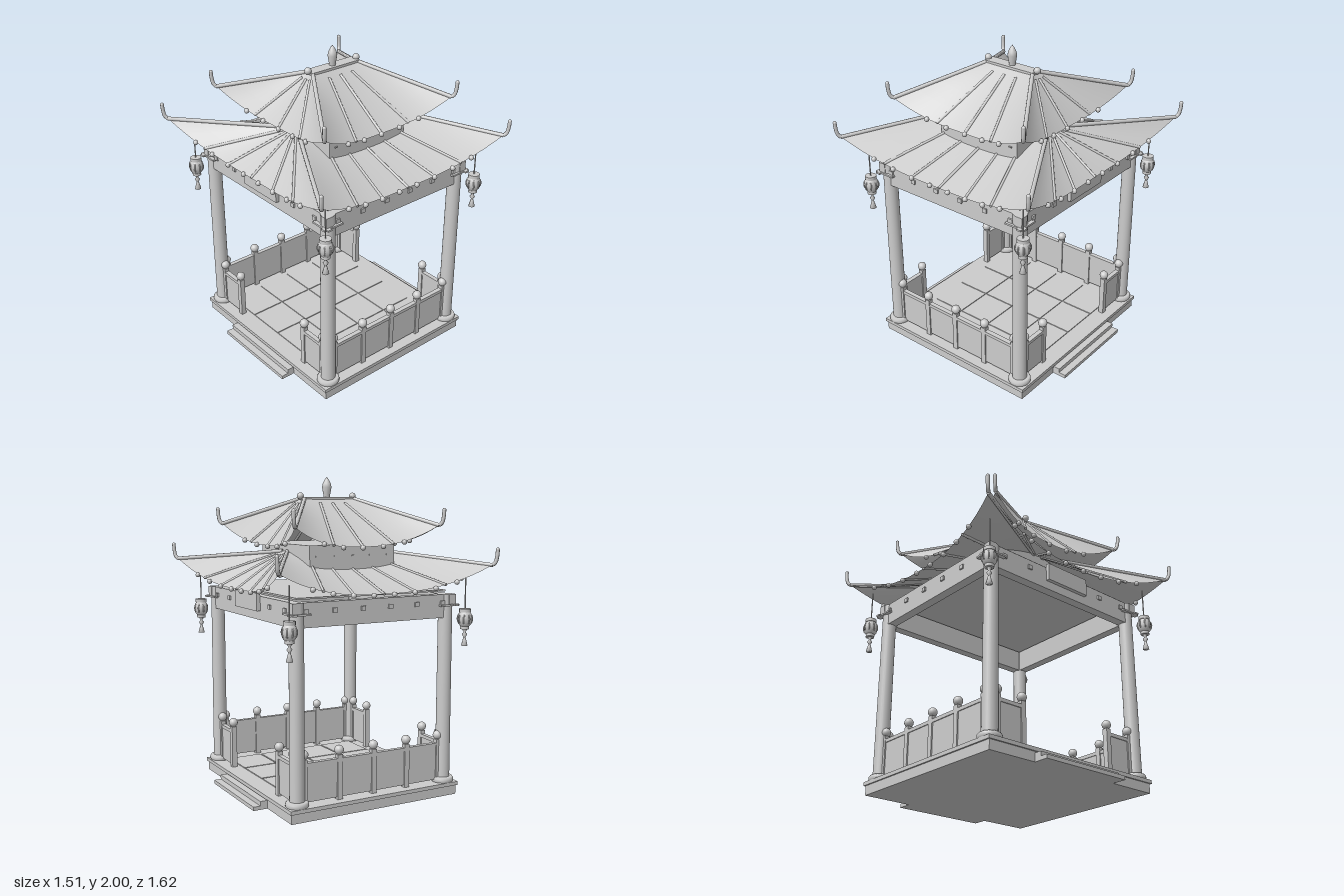
import * as THREE from 'three';

const stone = new THREE.MeshStandardMaterial({ color: 0xcccccc, side: THREE.DoubleSide });
stone.name = 'pale grey';

const V = (x, y, z) => new THREE.Vector3(x, y, z);
const SIGNS = [-1, 1];

function add(parent, name, geometry, x = 0, y = 0, z = 0) {
  const mesh = new THREE.Mesh(geometry, stone);
  mesh.name = name;
  mesh.position.set(x, y, z);
  parent.add(mesh);
  return mesh;
}

// Box given by its centre in x and z and its bottom and top heights
function block(parent, name, w, d, y0, y1, x = 0, z = 0) {
  return add(parent, name, new THREE.BoxGeometry(w, y1 - y0, d), x, (y0 + y1) / 2, z);
}

function ball(parent, name, r, p) {
  return add(parent, name, new THREE.SphereGeometry(r, 14, 10), p.x, p.y, p.z);
}

// Round bar between two points
function bar(parent, name, a, b, r) {
  const mesh = add(parent, name, new THREE.CylinderGeometry(r, r, a.distanceTo(b), 8));
  mesh.position.copy(a).add(b).multiplyScalar(0.5);
  mesh.quaternion.setFromUnitVectors(V(0, 1, 0), b.clone().sub(a).normalize());
  return mesh;
}

function lathe(parent, name, points, x, y, z, sides = 16) {
  const profile = points.map(p => new THREE.Vector2(p[0], p[1]));
  return add(parent, name, new THREE.LatheGeometry(profile, sides), x, y, z);
}

// Hipped roof with sagging eaves, ribs, eave beads and upturned corner horns
function roof(parent, name, o) {
  const group = new THREE.Group();
  group.name = name;
  parent.add(group);

  // s runs along the eave from -1 to 1, t from the ridge (0) to the eave (1)
  const point = (axis, sign, s, t) => {
    const y = o.eaveY + (o.cornerY - o.eaveY) * Math.abs(s) ** 2.5;
    const eave = axis === 'z'
      ? V(s * o.cx, y, sign * (o.mz + (o.cz - o.mz) * s * s))
      : V(sign * (o.mx + (o.cx - o.mx) * s * s), y, s * o.cz);
    const top = axis === 'z' ? V(s * o.rx, o.ridgeY, sign * o.rz) : V(sign * o.rx, o.ridgeY, s * o.rz);
    return top.lerp(eave, t);
  };

  for (const axis of ['x', 'z']) for (const sign of SIGNS) {
    const slope = new THREE.PlaneGeometry(2, 1, 20, 4);
    const pos = slope.attributes.position;
    for (let i = 0; i < pos.count; i++) {
      const p = point(axis, sign, pos.getX(i), 0.5 - pos.getY(i));
      pos.setXYZ(i, p.x, p.y, p.z);
    }
    slope.computeVertexNormals();
    add(group, 'roofSlope', slope);

    for (const s of o.ribs) {
      bar(group, 'roofRib', point(axis, sign, s, 0.1), point(axis, sign, s, 1), 0.009);
    }
    const half = axis === 'z' ? o.cx : o.cz;
    const gap = axis === 'z' ? o.beadGapX : o.beadGapZ;
    for (let i = 0; i < o.beads; i++) {
      const p = point(axis, sign, (i - (o.beads - 1) / 2) * gap / half, 1);
      p.y -= 0.005;
      ball(group, 'eaveBead', 0.016, p);
    }
  }

  // Hip ridges ending in horns
  for (const sx of SIGNS) for (const sz of SIGNS) {
    const corner = V(sx * o.cx, o.cornerY, sz * o.cz);
    bar(group, 'hipRidge', V(sx * o.rx, o.ridgeY, sz * o.rz), corner, 0.013);
    const horn = new THREE.CatmullRomCurve3([
      corner,
      V(sx * (o.cx + 0.012), o.cornerY + 0.018, sz * (o.cz + 0.013)),
      V(sx * (o.cx + 0.018), o.cornerY + 0.055, sz * (o.cz + 0.02)),
      V(sx * (o.cx + 0.02), o.cornerY + 0.095, sz * (o.cz + 0.022))]);
    add(group, 'cornerHorn', new THREE.TubeGeometry(horn, 10, 0.012, 8));
    ball(group, 'hornTip', 0.012, horn.getPoint(1));
  }
}

// Lantern with a ribbed body, cord and tassel
function lantern(parent, x, z) {
  const g = new THREE.Group();
  g.name = 'lantern';
  g.position.set(x, 0, z);
  parent.add(g);
  bar(g, 'lanternCord', V(0, 1.18, 0), V(0, 1.39, 0), 0.004);
  lathe(g, 'lanternBody', [[0.026, 1.08], [0.04, 1.097], [0.046, 1.128], [0.04, 1.158], [0.026, 1.175]], 0, 0, 0);
  for (const [y, r] of [[1.18, 0.036], [1.075, 0.028]]) {
    add(g, 'lanternCap', new THREE.CylinderGeometry(r, r, 0.022, 16), 0, y, 0);
  }
  for (let i = 0; i < 8; i++) {
    const rib = add(g, 'lanternRib', new THREE.TorusGeometry(0.046, 0.005, 6, 12, Math.PI), 0, 1.128, 0);
    rib.rotation.set(0, i * Math.PI / 4, -Math.PI / 2, 'YXZ');
  }
  lathe(g, 'tassel', [[0, 0.96], [0.021, 0.96], [0.009, 1.005], [0.006, 1.012], [0.017, 1.03],
    [0.006, 1.045], [0.014, 1.058], [0.014, 1.07]], 0, 0, 0, 10);
}

function railPost(parent, x, z) {
  block(parent, 'railPost', 0.034, 0.034, 0.085, 0.36, x, z);
  ball(parent, 'railPostBall', 0.029, V(x, 0.387, z));
}

export function createModel() {
  const model = new THREE.Group();
  model.name = 'pavilion';
  const CX = 0.52, CZ = 0.578;

  // Platform, floor tiles and side steps
  block(model, 'platform', 1.17, 1.27, 0, 0.06);
  block(model, 'platformLip', 1.19, 1.29, 0.06, 0.083);
  for (let i = 0; i < 4; i++) for (let j = 0; j < 4; j++) {
    block(model, 'floorTile', 0.23, 0.255, 0.083, 0.089, (i - 1.5) * 0.24, (j - 1.5) * 0.265);
  }
  for (const s of SIGNS) {
    block(model, 'lowerStep', 0.1, 0.62, 0, 0.024, s * 0.628);
    block(model, 'upperStep', 0.06, 0.62, 0, 0.052, s * 0.602);
  }

  // Columns with round bases, brackets and lanterns
  for (const sx of SIGNS) for (const sz of SIGNS) {
    const x = sx * CX, z = sz * CZ;
    add(model, 'column', new THREE.CylinderGeometry(0.044, 0.046, 1.2, 24), x, 0.68, z);
    lathe(model, 'columnBase', [[0.066, 0.083], [0.07, 0.09], [0.07, 0.106], [0.062, 0.117], [0, 0.117]], x, 0, z, 24);
    block(model, 'bracket', 0.14, 0.03, 1.207, 1.218, x, z + sz * 0.04);
    block(model, 'bracket', 0.03, 0.14, 1.207, 1.218, x + sx * 0.04, z);
    block(model, 'bracketBlock', 0.05, 0.05, 1.218, 1.28, x + sx * 0.022, z + sz * 0.022);
    lantern(model, sx * 0.608, sz * 0.665);
  }

  // Beams, beam blocks, plaques and ceiling
  for (const s of SIGNS) {
    block(model, 'frontBeam', 2 * CX, 0.06, 1.135, 1.28, 0, s * CZ);
    block(model, 'sideBeam', 0.06, 2 * CZ, 1.135, 1.28, s * CX, 0);
    for (const k of [-2.5, -1.5, -0.5, 0.5, 1.5, 2.5]) {
      block(model, 'beamBlock', 0.03, 0.02, 1.215, 1.242, k * 0.19, s * (CZ + 0.03));
      block(model, 'beamBlock', 0.02, 0.03, 1.215, 1.242, s * (CX + 0.03), k * 0.2);
    }
    block(model, 'plaque', 0.025, 0.325, 1.19, 1.3, s * (CX + 0.042), 0);
  }
  block(model, 'ceiling', 1.04, 1.156, 1.295, 1.305);

  // Railings: full length on front and back, short returns on the sides
  for (const s of SIGNS) {
    block(model, 'railPanel', 0.95, 0.018, 0.1, 0.325, 0, s * CZ);
    block(model, 'handrail', 0.95, 0.03, 0.316, 0.338, 0, s * CZ);
    for (let i = -2; i <= 2; i++) railPost(model, i * 0.2385, s * CZ);
    for (const t of SIGNS) {
      block(model, 'railPanel', 0.018, 0.19, 0.1, 0.325, s * CX, t * 0.437);
      block(model, 'handrail', 0.03, 0.19, 0.316, 0.338, s * CX, t * 0.437);
      for (const z of [0.345, 0.53]) railPost(model, s * CX, t * z);
    }
  }

  // Two roofs with a neck between them
  roof(model, 'lowerRoof', {
    cx: 0.725, cz: 0.775, mx: 0.635, mz: 0.69, rx: 0.3, rz: 0.03, ridgeY: 1.537, eaveY: 1.312, cornerY: 1.462,
    ribs: [-0.58, -0.29, 0, 0.29, 0.58], beads: 8, beadGapX: 0.141, beadGapZ: 0.152 });
  block(model, 'roofNeck', 0.6, 0.66, 1.4, 1.585);
  for (const s of SIGNS) for (const k of [-2, -1, 0, 1, 2]) {
    block(model, 'neckBlock', 0.02, 0.012, 1.515, 1.523, k * 0.125, s * 0.33);
  }
  roof(model, 'upperRoof', {
    cx: 0.5, cz: 0.53, mx: 0.42, mz: 0.45, rx: 0.18, rz: 0.035, ridgeY: 1.862, eaveY: 1.575, cornerY: 1.7,
    ribs: [-0.42, 0, 0.42], beads: 5, beadGapX: 0.14, beadGapZ: 0.145 });

  // Top ridge with end balls and a pointed finial
  block(model, 'topRidge', 0.37, 0.08, 1.852, 1.874);
  for (const s of SIGNS) ball(model, 'ridgeBall', 0.022, V(s * 0.19, 1.88, 0));
  lathe(model, 'finial', [[0.02, 1.87], [0.022, 1.89], [0.03, 1.935], [0.026, 1.957], [0.012, 1.985], [0, 2]], 0, 0, 0, 12);

  return model;
}
